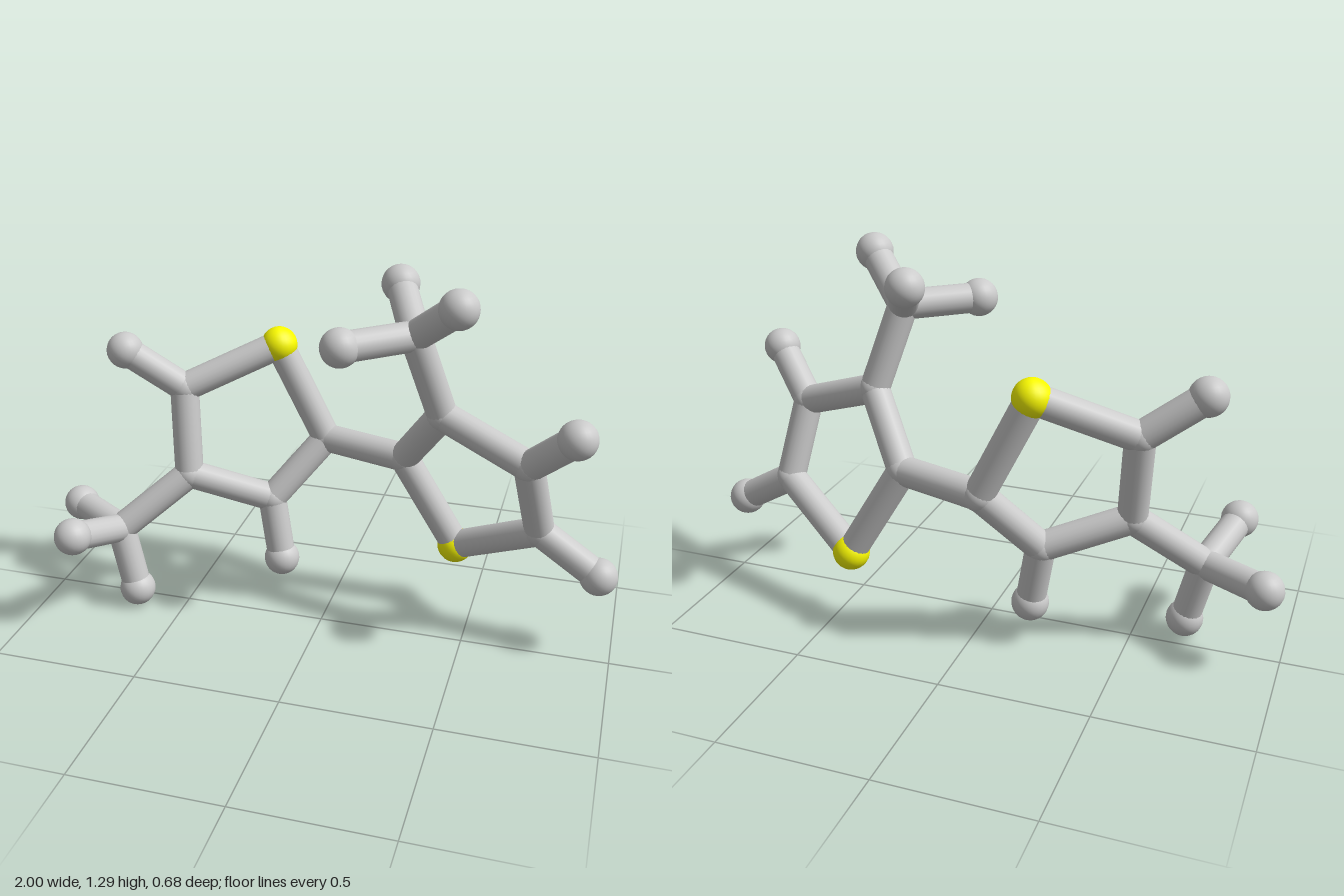
import * as THREE from 'three';

const BOND_R = 0.05;
const JOINT_R = 0.053;
const BALL_R = 0.063;

// Atom centres: s = yellow ring atom, c = joint, h = end ball
const ATOMS = {
  // left ring
  sA: [-0.227, 0.918, -0.272], cA1: [-0.06, 0.578, -0.285], cA2: [-0.23, 0.372, -0.17],
  cA3: [-0.505, 0.475, -0.075], cA4: [-0.53, 0.78, -0.13],
  hA2: [-0.188, 0.147, -0.143], hA4: [-0.72, 0.917, -0.077],
  // left three-armed tip
  cAm: [-0.725, 0.29, 0.05],
  hAm1: [-0.938, 0.298, -0.078], hAm2: [-0.797, 0.363, 0.275], hAm3: [-0.668, 0.065, 0.07],
  // right ring
  sB: [0.432, 0.257, -0.212], cB1: [0.24, 0.58, -0.195], cB2: [0.388, 0.805, -0.072],
  cB3: [0.685, 0.698, 0.01], cB4: [0.73, 0.43, -0.068],
  hB3: [0.832, 0.85, 0.107], hB4: [0.935, 0.308, -0.036],
  // right three-armed tip
  cBm: [0.3, 1.087, -0.018],
  hBm1: [0.1, 1.087, 0.15], hBm2: [0.212, 1.196, -0.198], hBm3: [0.452, 1.224, 0.1],
};

const BONDS = [
  ['cA1', 'cB1'],
  ...['A', 'B'].flatMap((k) => [
    ['s', 'c1'], ['c1', 'c2'], ['c2', 'c3'], ['c3', 'c4'], ['c4', 's'],
    ['cm', 'hm1'], ['cm', 'hm2'], ['cm', 'hm3'], ['c4', 'h4'],
  ].map((pair) => pair.map((n) => n[0] + k + n.slice(1)))),
  ['cA3', 'cAm'], ['cA2', 'hA2'],
  ['cB2', 'cBm'], ['cB3', 'hB3'],
];

export function createModel() {
  const model = new THREE.Group();
  model.name = 'molecule';
  const grey = new THREE.MeshStandardMaterial({ color: 0xcccccc });
  const yellow = new THREE.MeshStandardMaterial({ color: 0xffff00 });
  const ball = new THREE.SphereGeometry(BALL_R, 24, 16);
  const joint = new THREE.SphereGeometry(JOINT_R, 24, 16);

  // Spheres at every atom
  const kinds = {
    s: ['sulphurAtom', ball, yellow],
    c: ['carbonJoint', joint, grey],
    h: ['hydrogenBall', ball, grey],
  };
  for (const [key, pos] of Object.entries(ATOMS)) {
    const [name, geometry, material] = kinds[key[0]];
    const mesh = new THREE.Mesh(geometry, material);
    mesh.name = name;
    mesh.position.set(...pos);
    model.add(mesh);
  }

  // Round rods between bonded atoms
  const up = new THREE.Vector3(0, 1, 0);
  for (const [from, to] of BONDS) {
    const a = new THREE.Vector3(...ATOMS[from]);
    const b = new THREE.Vector3(...ATOMS[to]);
    const dir = b.clone().sub(a);
    const rod = new THREE.Mesh(new THREE.CylinderGeometry(BOND_R, BOND_R, dir.length(), 20, 1, true), grey);
    rod.name = 'bondRod';
    rod.position.copy(a).add(b).multiplyScalar(0.5);
    rod.quaternion.setFromUnitVectors(up, dir.normalize());
    model.add(rod);
  }
  return model;
}
